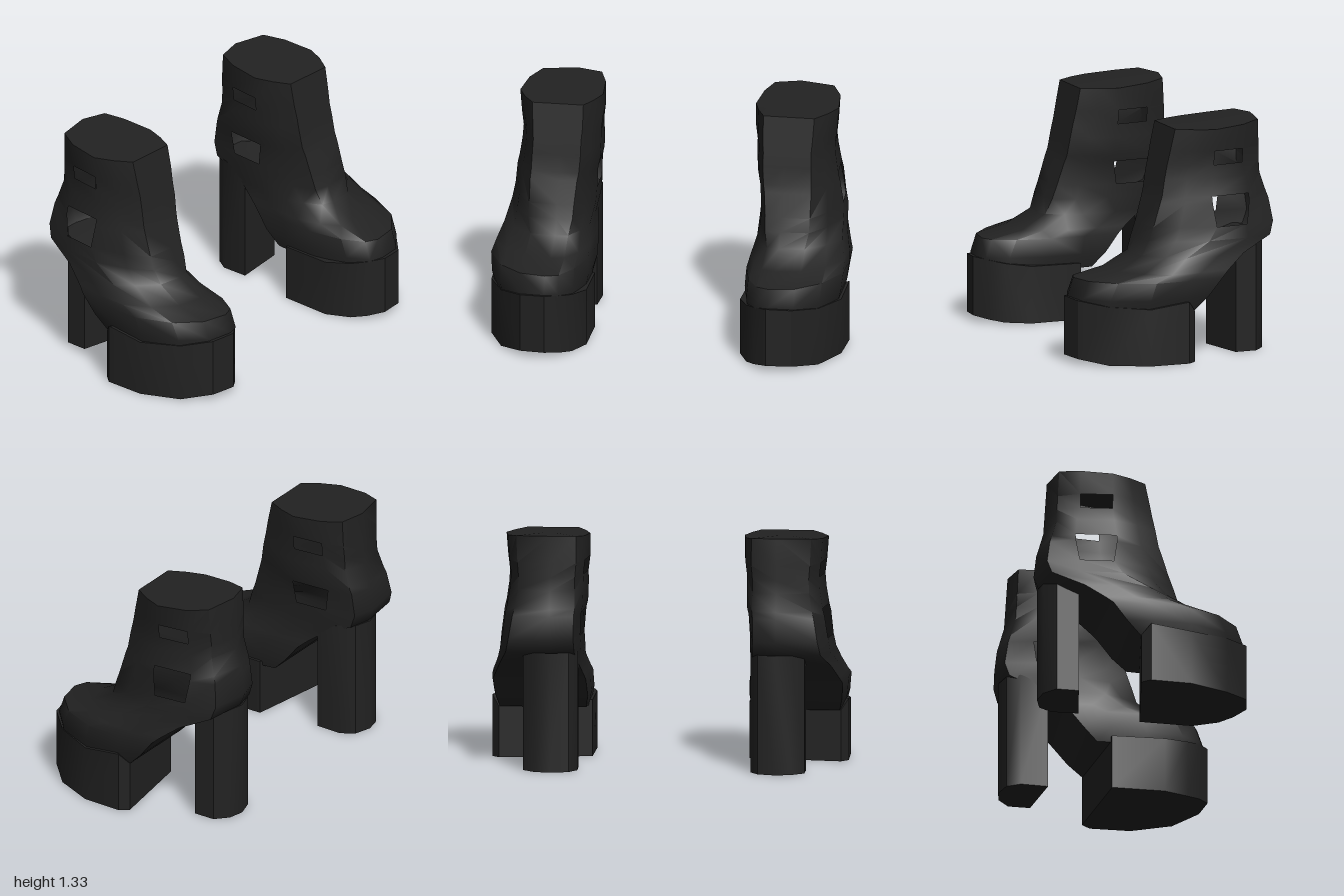
import * as THREE from 'three';
import { toCreasedNormals } from 'three/addons/utils/BufferGeometryUtils.js';

const leather = new THREE.MeshStandardMaterial({ color: 0x222222, side: THREE.DoubleSide });
leather.name = 'black leather';

// Skins a stack of rings (bottom to top, counterclockwise from above) and closes both ends.
// s = 1 or -1 mirrors in x; skip(i, j) leaves a quad open.
function loft(rings, s, crease, skip = () => false) {
  const n = rings[0].length, pos = [], idx = [];
  const tri = (a, b, c) => (s > 0 ? idx.push(a, b, c) : idx.push(a, c, b));
  rings.forEach(r => r.forEach(([x, y, z]) => pos.push(x * s, y, z)));
  for (let i = 0; i < rings.length - 1; i++) {
    for (let j = 0; j < n; j++) {
      if (skip(i, j)) continue;
      const k = (j + 1) % n, a = i * n + j, b = i * n + k;
      tri(a, b, b + n);
      tri(a, b + n, a + n);
    }
  }
  [0, rings.length - 1].forEach((i, top) => {
    const c = pos.length / 3;
    const mid = [0, 1, 2].map(q => rings[i].reduce((t, p) => t + p[q], 0) / n);
    pos.push(mid[0] * s, mid[1], mid[2]);
    for (let j = 0; j < n; j++) {
      const a = i * n + j, b = i * n + (j + 1) % n;
      if (top) tri(c, a, b); else tri(c, b, a);
    }
  });
  const g = new THREE.BufferGeometry();
  g.setAttribute('position', new THREE.Float32BufferAttribute(pos, 3));
  g.setIndex(idx);
  return toCreasedNormals(g, crease);
}

// Upper contours: y, front z, back z, inner x, outer x, foot blend, z of side columns 1 and 2
const UPPER = [
  [0.29, 0.57, -0.05, 0.46, 0.97, 1, 0.23, 0.05],
  [0.37, 0.585, -0.13, 0.445, 0.99, 1, 0.23, 0.02],
  [0.47, 0.55, -0.21, 0.45, 1.0, 1, 0.2, 0],
  [0.51, 0.36, -0.26, 0.455, 0.99, 0.9, 0.1, -0.08],
  [0.59, 0.21, -0.37, 0.475, 0.96, 0.8, 0, -0.2],
  [0.675, 0.17, -0.575, 0.465, 0.945, 0.4, -0.15, -0.39],
  [0.75, 0.14, -0.605, 0.465, 0.935, 0.3, -0.2, -0.39],
  [0.88, 0.095, -0.59, 0.455, 0.92, 0.15, -0.18, -0.41],
  [0.92, 0.08, -0.578, 0.445, 0.91, 0.1, -0.18, -0.41],
  [1.02, 0.06, -0.55, 0.44, 0.895, 0, -0.19, -0.4],
  [1.095, 0.044, -0.545, 0.44, 0.89, 0, -0.2, -0.38],
  [1.175, 0.027, -0.54, 0.43, 0.9, 0, -0.2, -0.38],
  [1.3, 0, -0.53, 0.43, 0.91, 0, -0.2, -0.38],
];
// Column shapes as [width fraction, depth fraction]; depth null uses the side column z
const SHAFT = [[0, 0], [0.6, 0], [0.82, 0.18], [0.98, null], [0.9, null], [0.7, 0.93], [0, 1]];
const FOOT = [[0, 0], [0.4, 0.04], [0.76, 0.2], [1, null], [1, null], [0.95, 1], [0, 1]];
const CX = 0.635;

function upperRing([y, zf, zb, xi, xo, k, s1, s2], i) {
  const top = i === UPPER.length - 1;
  const point = (c, edge) => {
    const w = THREE.MathUtils.lerp(SHAFT[c][0], FOOT[c][0], k);
    const t = THREE.MathUtils.lerp(SHAFT[c][1], FOOT[c][1], k);
    const z = c === 3 ? s1 : c === 4 ? s2 : zf + (zb - zf) * t;
    return [CX + (edge - CX) * w, y + (top ? Math.max(0, -0.27 - z) * 0.115 : 0), z];
  };
  const outer = [0, 1, 2, 3, 4, 5, 6].map(c => point(c, xo));
  const inner = [5, 4, 3, 2, 1].map(c => point(c, xi));
  return [...outer, ...inner];
}

// Side cut-outs lie between the two side columns: outer column 3, inner column 8
const cutout = (i, j) => (j === 3 || j === 8) && (i === 6 || i === 7 && j === 3 || i === 10);

// Platform outline: x, z, bottom y, top y
const SOLE = [
  [0.63, 0.605, 0.035, 0.37], [0.77, 0.58, 0.03, 0.362], [0.9, 0.45, 0.005, 0.338],
  [0.993, 0.23, 0, 0.322], [1, 0, 0, 0.35], [0.96, -0.05, 0, 0.29], [0.44, 0.03, 0, 0.32],
  [0.437, 0.33, 0, 0.325], [0.495, 0.47, 0.006, 0.342], [0.55, 0.545, 0.02, 0.358],
];
// Heel outline: x, z
const HEEL = [[0.79, -0.375], [0.79, -0.5], [0.72, -0.565], [0.63, -0.585], [0.53, -0.555],
  [0.485, -0.48], [0.49, -0.325]];

function boot(s) {
  const g = new THREE.Group();
  g.name = s > 0 ? 'leftBoot' : 'rightBoot';
  const add = (name, geo) => {
    const m = new THREE.Mesh(geo, leather);
    m.name = name;
    g.add(m);
  };
  add('upper', loft(UPPER.map(upperRing), s, 0.95, cutout));
  add('platformSole', loft([2, 3].map(q => SOLE.map(p => [p[0], p[q], p[1]])), s, 0.6));
  // heel top follows the slope of the arch
  const heelTop = HEEL.map(([x, z]) => [x, z < -0.45 ? 0.675 : 0.62, z]);
  add('heel', loft([HEEL.map(([x, z]) => [x, 0, z]), heelTop], s, 0.6));
  return g;
}

export function createModel() {
  const model = new THREE.Group();
  model.name = 'platformBoots';
  model.add(boot(1), boot(-1));
  return model;
}
